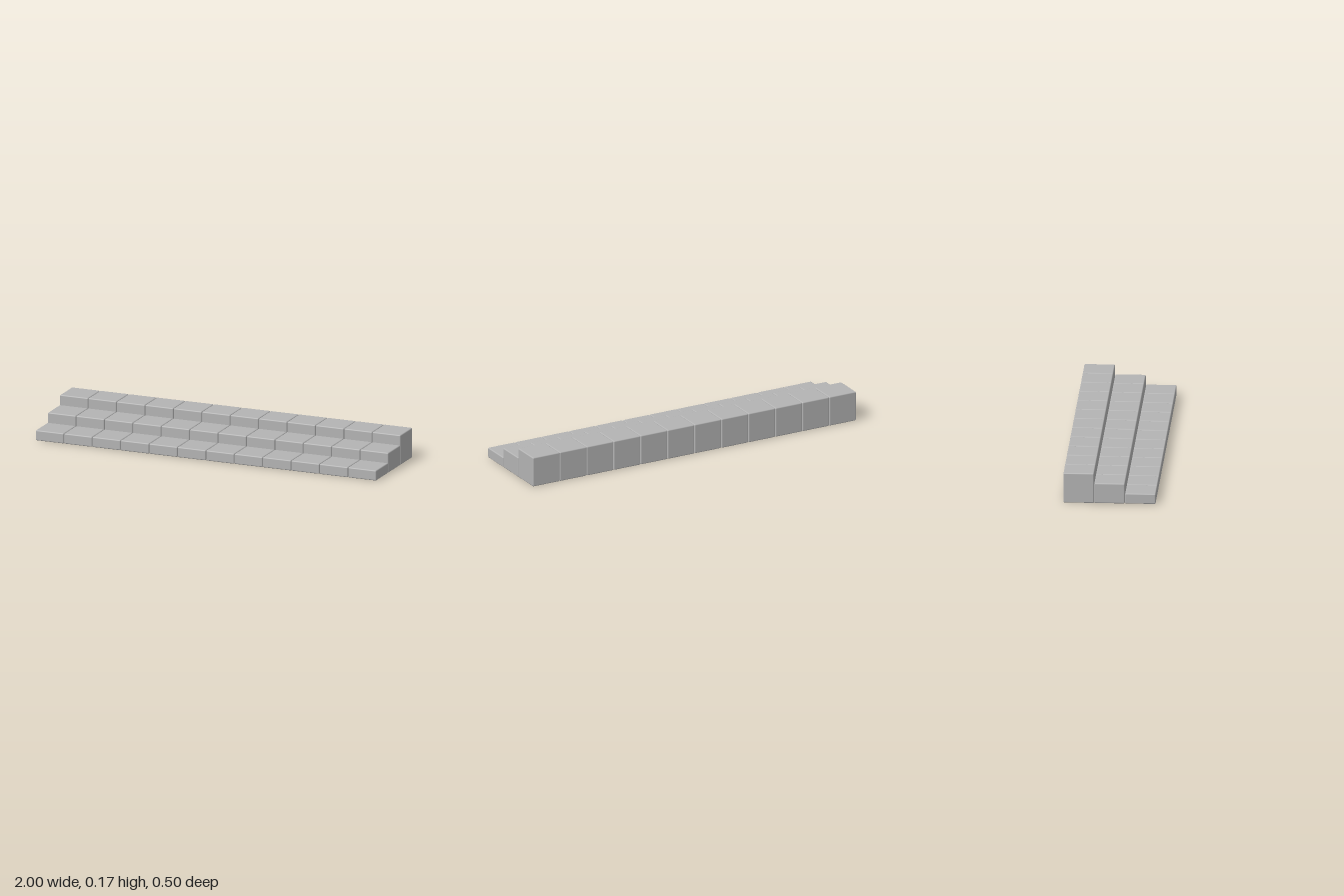
import * as THREE from 'three';
import { RoundedBoxGeometry } from 'three/addons/geometries/RoundedBoxGeometry.js';

export function createModel() {
  const model = new THREE.Group();
  model.name = 'blockSteps';
  const stone = new THREE.MeshStandardMaterial({ color: 0xb4b4b4 });
  stone.name = 'grey stone';

  const columns = 12;
  const pitch = 2 / columns;
  const size = 0.165; // leaves a hairline joint between blocks

  // Three steps rising from front to back
  const steps = [
    { name: 'lowerStep', height: 0.057, z: pitch },
    { name: 'middleStep', height: 0.112, z: 0 },
    { name: 'upperStep', height: 0.167, z: -pitch },
  ];

  for (const { name, height, z } of steps) {
    const step = new THREE.Group();
    step.name = name;
    const geometry = new RoundedBoxGeometry(size, height, size, 2, 0.006);

    // A row of softly rounded blocks
    for (let i = 0; i < columns; i++) {
      const block = new THREE.Mesh(geometry, stone);
      block.name = `${name}Block${i + 1}`;
      block.position.set((i + 0.5) * pitch - 1, height / 2, z);
      step.add(block);
    }
    model.add(step);
  }
  return model;
}
